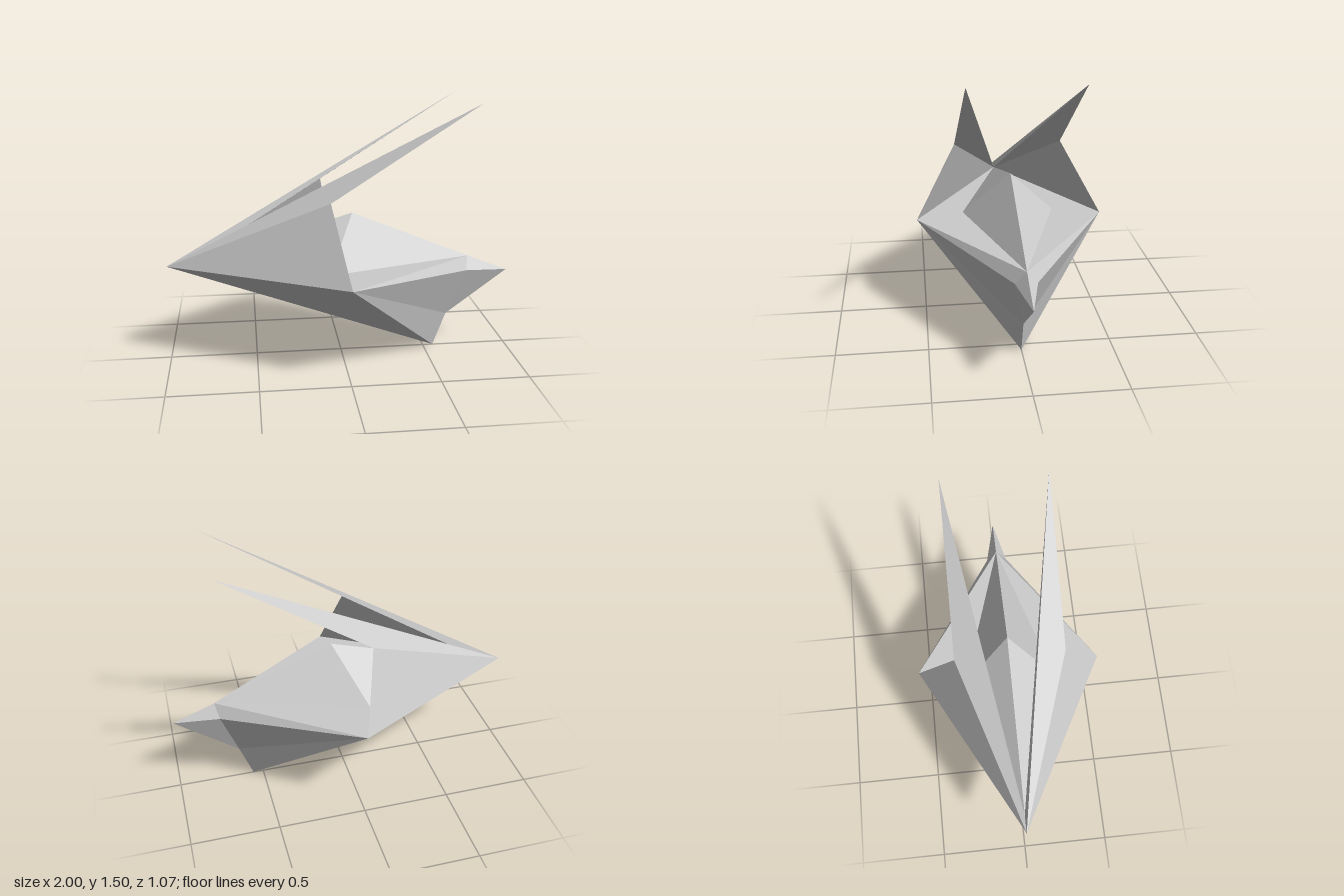
import * as THREE from 'three';

const grey = new THREE.MeshStandardMaterial({
  color: 0xcccccc, flatShading: true, side: THREE.DoubleSide,
});

// Corner points of the +z half; points with z = 0 lie on the centre line
const P = {
  tail: [-1, 0.56, 0],
  tailInner: [-0.9, 0.56, 0],
  side: [0, 0.56, 0.535],
  keel: [0.56, 0, 0],
  chin: [0.635, 0.2, 0],
  nose: [0.995, 0.465, 0],
  cheek: [0.735, 0.488, 0.06],
  deckFront: [0.755, 0.56, 0],
  canopyTop: [0.065, 0.845, 0],
  canopySide: [-0.09, 0.56, 0.265],
  wingKnee: [-0.09, 0.98, 0.307],
  wingTip: [0.73, 1.5, 0.29],
};

// Triangles on one side (sign = 1 or -1), winding reversed for the mirror
function facets(triangles, sign) {
  const out = [];
  for (const tri of triangles) {
    const names = sign > 0 ? tri : [...tri].reverse();
    for (const n of names) out.push(P[n][0], P[n][1], P[n][2] * sign);
  }
  return out;
}

function facetMesh(name, triangles, sides) {
  const geometry = new THREE.BufferGeometry();
  const positions = sides.flatMap((s) => facets(triangles, s));
  geometry.setAttribute('position', new THREE.Float32BufferAttribute(positions, 3));
  geometry.computeVertexNormals();
  const mesh = new THREE.Mesh(geometry, grey);
  mesh.name = name;
  return mesh;
}

export function createModel() {
  const model = new THREE.Group();
  model.name = 'spacecraft';

  // Keeled hull with flat deck
  model.add(facetMesh('hull', [
    ['tail', 'keel', 'side'],
    ['side', 'keel', 'chin'],
    ['side', 'chin', 'cheek'],
    ['tail', 'side', 'deckFront'],
  ], [1, -1]));

  // Pointed nose
  model.add(facetMesh('nose', [
    ['cheek', 'chin', 'nose'],
    ['side', 'cheek', 'deckFront'],
    ['cheek', 'nose', 'deckFront'],
  ], [1, -1]));

  // Faceted canopy on the deck
  model.add(facetMesh('canopy', [
    ['tailInner', 'canopySide', 'canopyTop'],
    ['canopySide', 'deckFront', 'canopyTop'],
  ], [1, -1]));

  // Thin folded wings sweeping up and forward
  for (const [name, sign] of [['leftWing', -1], ['rightWing', 1]]) {
    model.add(facetMesh(name, [
      ['tail', 'side', 'wingKnee'],
      ['tail', 'wingKnee', 'wingTip'],
      ['tail', 'wingTip', 'tailInner'],
      ['tailInner', 'wingKnee', 'side'],
      ['tailInner', 'wingTip', 'wingKnee'],
    ], [sign]));
  }

  return model;
}
